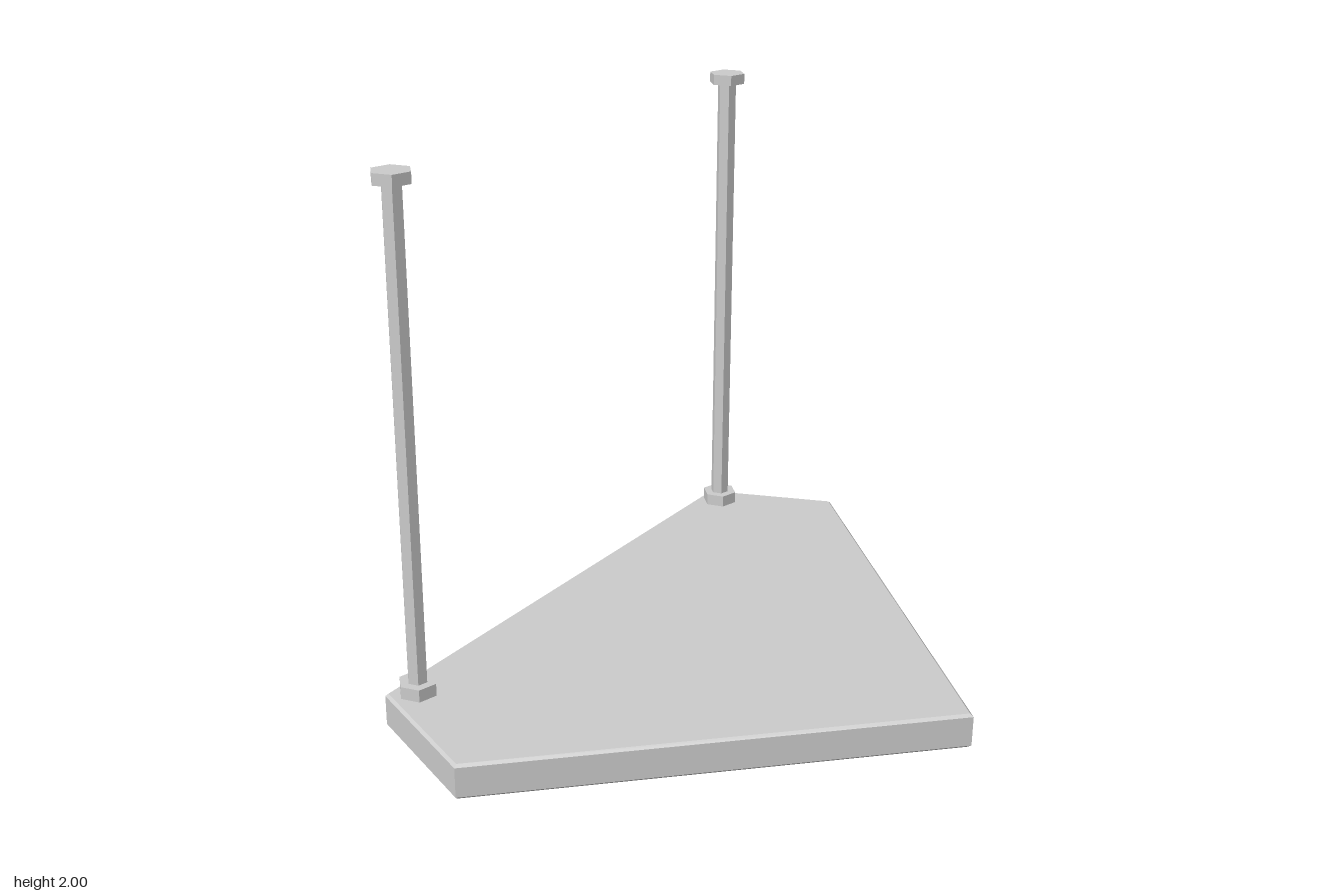
import * as THREE from 'three';

const material = new THREE.MeshStandardMaterial({ color: 0xcccccc, flatShading: true });

function addMesh(parent, name, geometry, y = 0) {
  const mesh = new THREE.Mesh(geometry, material);
  mesh.name = name;
  mesh.position.y = y;
  parent.add(mesh);
  return mesh;
}

// Five-sided slab with a slim bevel, outline given as (x, z)
function slabGeometry(height, bevel) {
  const outline = [[0.987, 0.987], [-0.787, 0.987], [-0.99, 0.495], [0.495, -0.99], [0.987, -0.787]];
  const shape = new THREE.Shape(outline.map(([x, z]) => new THREE.Vector2(x, z)));
  const geometry = new THREE.ExtrudeGeometry(shape, {
    depth: height - 2 * bevel,
    bevelThickness: bevel,
    bevelSize: bevel,
    bevelOffset: -bevel,
    bevelSegments: 1,
  });
  // Lay flat: depth runs downwards from the top
  return geometry.rotateX(Math.PI / 2).translate(0, height - bevel, 0);
}

// Hexagonal prism standing between two heights
function addHex(parent, name, radius, bottom, top) {
  addMesh(parent, name, new THREE.CylinderGeometry(radius, radius, top - bottom, 6), (bottom + top) / 2);
}

function createPost(name, x, z) {
  const post = new THREE.Group();
  post.name = name;
  post.position.set(x, 0, z);
  addHex(post, 'baseCollar', 0.071, 0.13, 0.18);
  addHex(post, 'shaft', 0.037, 0.13, 1.98);
  addHex(post, 'topCap', 0.071, 1.96, 2);
  return post;
}

export function createModel() {
  const model = new THREE.Group();
  model.name = 'slabWithPosts';
  addMesh(model, 'slab', slabGeometry(0.133, 0.01));
  model.add(createPost('rightPost', -0.875, 0.505));
  model.add(createPost('backPost', 0.513, -0.88));
  return model;
}
